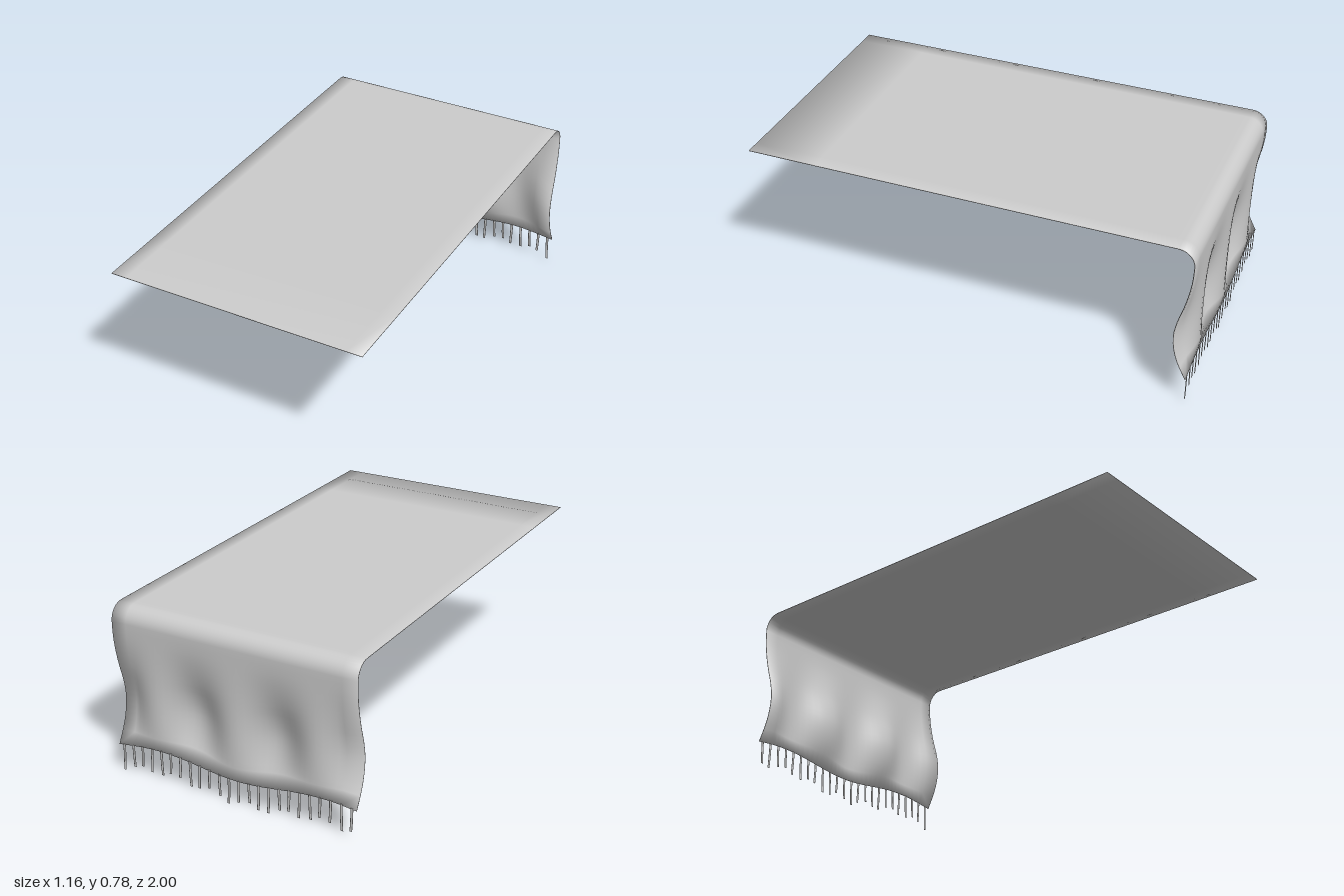
import * as THREE from 'three';

const TOP = 0.777, BACK = -0.9985, RADIUS = 0.07, HALF = 0.0015;
const X0 = -0.581, X1 = 0.573, PERIOD = (X1 - X0) / 3;

// Wavy lower hem of the hanging panel
const hemY = x => 0.136 - 0.018 * Math.cos(2 * Math.PI * (x + 0.03) / 0.78);

// Depth of the folds, from the bend down to the hem
const foldDepth = new THREE.SplineCurve(
  [0, 0.003, 0.014, 0.031, 0.052, 0.064, 0.058, 0.036, 0].map((d, i) => new THREE.Vector2(i / 8, d)));

// Rows running from the flat front edge, round the bend and down the panel
function makeRows() {
  const rows = [1, 0.68, 0.3, -0.1, -0.5, -0.75, -0.88].map(z => () => [0, TOP, z]);
  for (let i = 0; i <= 8; i++) {
    const a = i / 8 * Math.PI / 2;
    rows.push(() => [0, TOP - RADIUS + RADIUS * Math.cos(a), BACK + RADIUS - RADIUS * Math.sin(a)]);
  }
  const bendY = TOP - RADIUS;
  for (let i = 1; i <= 20; i++) {
    const t = i / 20;
    if (i === 19) continue;
    rows.push(x => {
      const wave = 0.5 + 0.5 * Math.cos(2 * Math.PI * (x - X0) / PERIOD);
      return [0.006 * t, bendY + (hemY(x) - bendY) * t, BACK + foldDepth.getPoint(t).y * wave];
    });
  }
  return rows;
}

// Columns, with a wider strip along each side for the soft border
function makeColumns() {
  const xs = [X0];
  const n = 36, a = X0 + 0.07, b = X1 - 0.07;
  for (let i = 0; i <= n; i++) xs.push(a + (b - a) * i / n);
  xs.push(X1);
  return xs;
}

function clothGeometry() {
  const rows = makeRows(), xs = makeColumns();
  const R = rows.length, C = xs.length, count = R * C;
  const mid = [], grid = [];
  for (const row of rows) for (const x of xs) {
    const [dx, y, z] = row(x);
    mid.push(x + dx, y, z);
  }
  for (let r = 0; r < R - 1; r++) for (let c = 0; c < C - 1; c++) {
    const a = r * C + c, b = a + 1, d = a + C, e = d + 1;
    grid.push([a, b, e], [a, e, d]);
  }
  const sheet = new THREE.BufferGeometry();
  sheet.setAttribute('position', new THREE.Float32BufferAttribute(mid, 3));
  sheet.setIndex(grid.flat());
  sheet.computeVertexNormals();

  // Two layers with normals that roll outward along the border
  const pos = [], nor = [], index = [];
  const p = new THREE.Vector3(), n = new THREE.Vector3(), out = new THREE.Vector3(), v = new THREE.Vector3();
  for (const side of [1, -1]) {
    for (let i = 0; i < count; i++) {
      const r = Math.floor(i / C), c = i % C;
      p.fromBufferAttribute(sheet.attributes.position, i);
      n.fromBufferAttribute(sheet.attributes.normal, i);
      v.copy(p).addScaledVector(n, side * HALF);
      pos.push(v.x, v.y, v.z);
      out.set(c === 0 ? -1 : c === C - 1 ? 1 : 0, r === R - 1 ? -1 : 0, r === 0 ? 1 : 0);
      n.multiplyScalar(side).add(out).normalize();
      nor.push(n.x, n.y, n.z);
    }
  }
  for (const [a, b, c] of grid) index.push(a, c, b, a + count, b + count, c + count);
  // Orient both layers by the direction of the first upper triangle
  const [a, b, c] = grid[0];
  const at = i => new THREE.Vector3().fromArray(mid, i * 3);
  const up = at(b).sub(at(a)).cross(at(c).sub(at(a))).y > 0;

  // Thin rim joining the layers
  const loop = [];
  for (let i = 0; i < C - 1; i++) loop.push(i);
  for (let i = 0; i < R - 1; i++) loop.push(i * C + C - 1);
  for (let i = C - 1; i > 0; i--) loop.push((R - 1) * C + i);
  for (let i = R - 1; i > 0; i--) loop.push(i * C);
  loop.forEach((f, i) => {
    const g = loop[(i + 1) % loop.length];
    index.push(f, g, g + count, f, g + count, f + count);
  });

  const geo = new THREE.BufferGeometry();
  // When the sheet normals point down, the first layer is already the underside
  const flip = up ? index : index.slice();
  for (let i = 0; i < grid.length * 6; i += 3) [flip[i + 1], flip[i + 2]] = [flip[i + 2], flip[i + 1]];
  geo.setAttribute('position', new THREE.Float32BufferAttribute(pos, 3));
  geo.setAttribute('normal', new THREE.Float32BufferAttribute(nor, 3));
  geo.setIndex(flip);
  return geo;
}

export function createModel() {
  const model = new THREE.Group();
  model.name = 'drapedCloth';
  const fabric = new THREE.MeshStandardMaterial({ name: 'grey fabric', color: 0xcccccc, side: THREE.DoubleSide });

  const cloth = new THREE.Mesh(clothGeometry(), fabric);
  cloth.name = 'cloth';
  model.add(cloth);

  // Fringe of uneven threads below the hem
  const fringe = new THREE.Group();
  fringe.name = 'fringe';
  const ends = [0.042, 0.032, 0.053, 0.063, 0.041, 0.032, 0.048, 0.041, 0.012, 0.012, 0.033, 0.019,
    0.002, 0.025, 0.045, 0.032, 0.029, 0.055, 0.06, 0.042, 0.042, 0.057, 0.044, 0.015];
  ends.forEach((end, i) => {
    const x = -0.553 + i * 0.0481, top = hemY(x) + 0.004, height = top - end;
    const lean = i % 3 === 1 ? -0.003 : 0.005;
    const geo = new THREE.CylinderGeometry(0.0065, 0.006, height, 8, 3);
    const p = geo.attributes.position;
    for (let k = 0; k < p.count; k++) {
      const t = 0.5 - p.getY(k) / height;
      p.setX(k, p.getX(k) + lean * t * t);
      p.setZ(k, p.getZ(k) * 0.25);
    }
    geo.computeVertexNormals();
    const thread = new THREE.Mesh(geo, fabric);
    thread.name = 'thread';
    thread.position.set(x, (top + end) / 2, BACK);
    fringe.add(thread);
  });
  model.add(fringe);
  return model;
}
